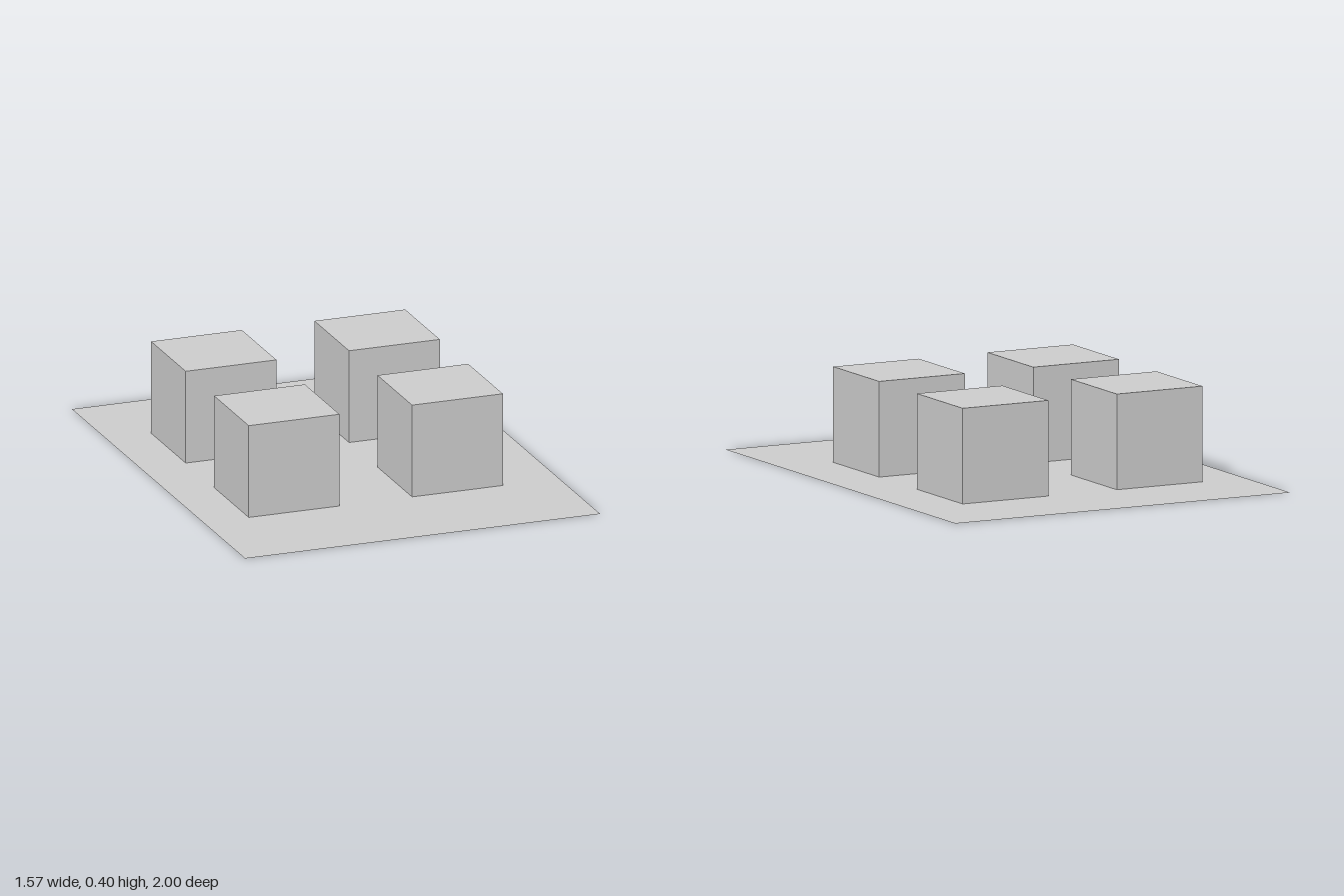
import * as THREE from 'three';

export function createModel() {
  const model = new THREE.Group();
  const grey = new THREE.MeshStandardMaterial({ color: 0xcccccc, side: THREE.DoubleSide });
  grey.name = 'light grey';

  // Flat ground sheet
  const sheet = new THREE.Mesh(new THREE.PlaneGeometry(1.565, 2).rotateX(-Math.PI / 2), grey);
  sheet.name = 'baseSheet';
  model.add(sheet);

  // Four cubes standing on the sheet, two rows of two
  const size = 0.4;
  const cube = new THREE.BoxGeometry(size, size, size);
  for (const [row, z] of [['front', 0.325], ['back', -0.403]]) {
    for (const [side, x] of [['Left', 0.335], ['Right', -0.385]]) {
      const block = new THREE.Mesh(cube, grey);
      block.name = `${row}${side}Cube`;
      block.position.set(x, size / 2, z);
      model.add(block);
    }
  }
  return model;
}
